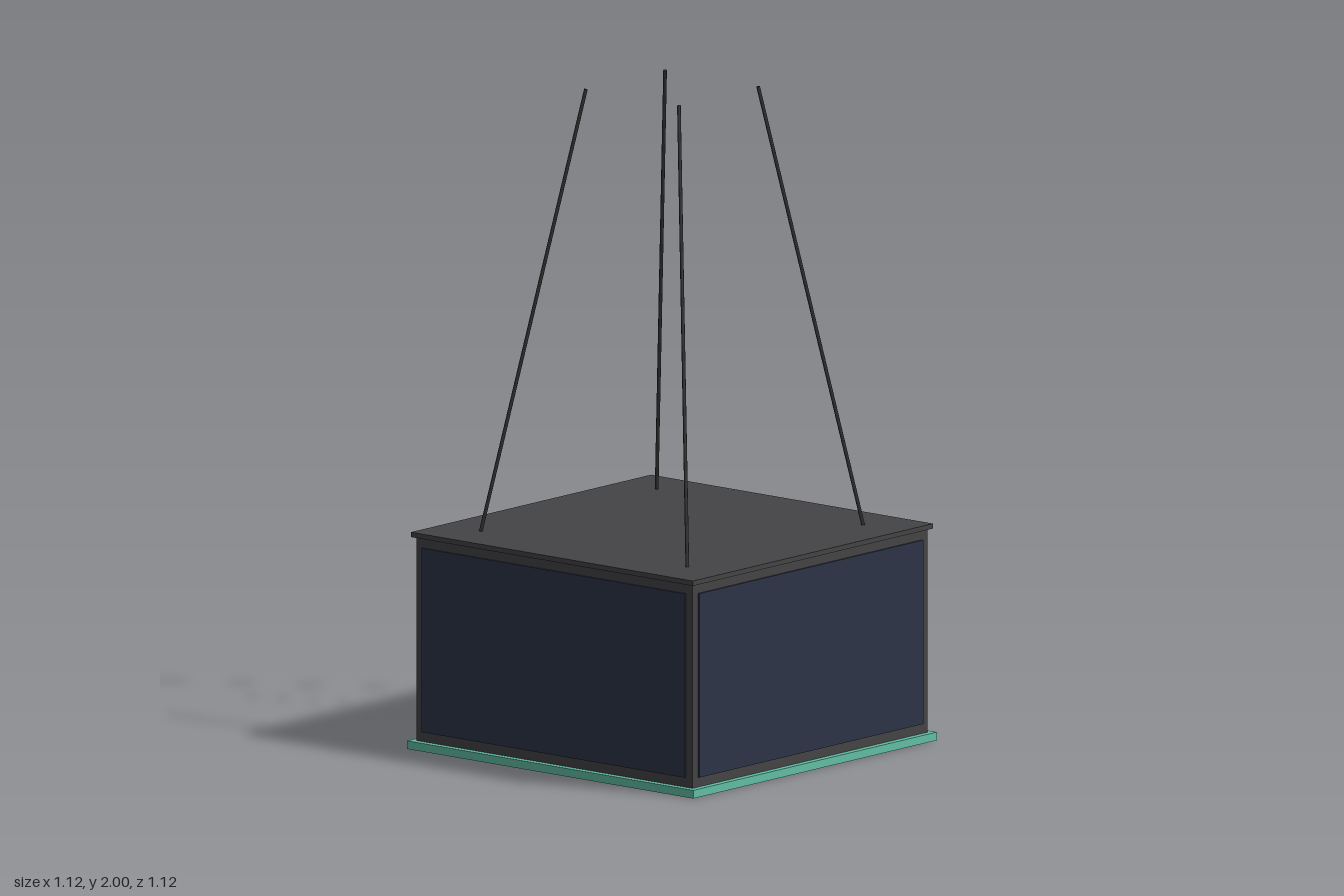
import * as THREE from 'three';

export function createModel() {
  const model = new THREE.Group();
  const frameMat = new THREE.MeshStandardMaterial({ color: 0x444446 });
  const screenMat = new THREE.MeshStandardMaterial({ color: 0x2d3448 });
  const trimMat = new THREE.MeshStandardMaterial({ color: 0x62bfa4 });
  const cableMat = new THREE.MeshStandardMaterial({ color: 0x333335 });

  // Square slab centred on the y axis, between two heights
  const slab = (name, half, y0, y1, mat) => {
    const mesh = new THREE.Mesh(new THREE.BoxGeometry(half * 2, y1 - y0, half * 2), mat);
    mesh.position.y = (y0 + y1) / 2;
    mesh.name = name;
    model.add(mesh);
  };
  slab('baseTrim', 0.56, 0, 0.025, trimMat);
  slab('housing', 0.54, 0.025, 0.645, frameMat);
  slab('topCap', 0.552, 0.645, 0.66, frameMat);

  const up = new THREE.Vector3(0, 1, 0);
  for (let i = 0; i < 4; i++) {
    const side = new THREE.Group();
    side.name = 'side' + (i + 1);
    side.rotation.y = (i * Math.PI) / 2;

    // Screen standing slightly proud of the housing
    const screen = new THREE.Mesh(new THREE.BoxGeometry(1.03, 0.56, 0.02), screenMat);
    screen.position.set(0, 0.335, 0.536);
    screen.name = 'screen';

    // Suspension cable leaning inwards from the cap
    const foot = new THREE.Vector3(0.405, 0.655, 0.405);
    const head = new THREE.Vector3(0.182, 2, 0.182);
    const dir = head.clone().sub(foot);
    const cable = new THREE.Mesh(new THREE.CylinderGeometry(0.0055, 0.0055, dir.length(), 8), cableMat);
    cable.position.copy(foot).add(head).multiplyScalar(0.5);
    cable.quaternion.setFromUnitVectors(up, dir.normalize());
    cable.name = 'cable';

    side.add(screen, cable);
    model.add(side);
  }
  return model;
}
